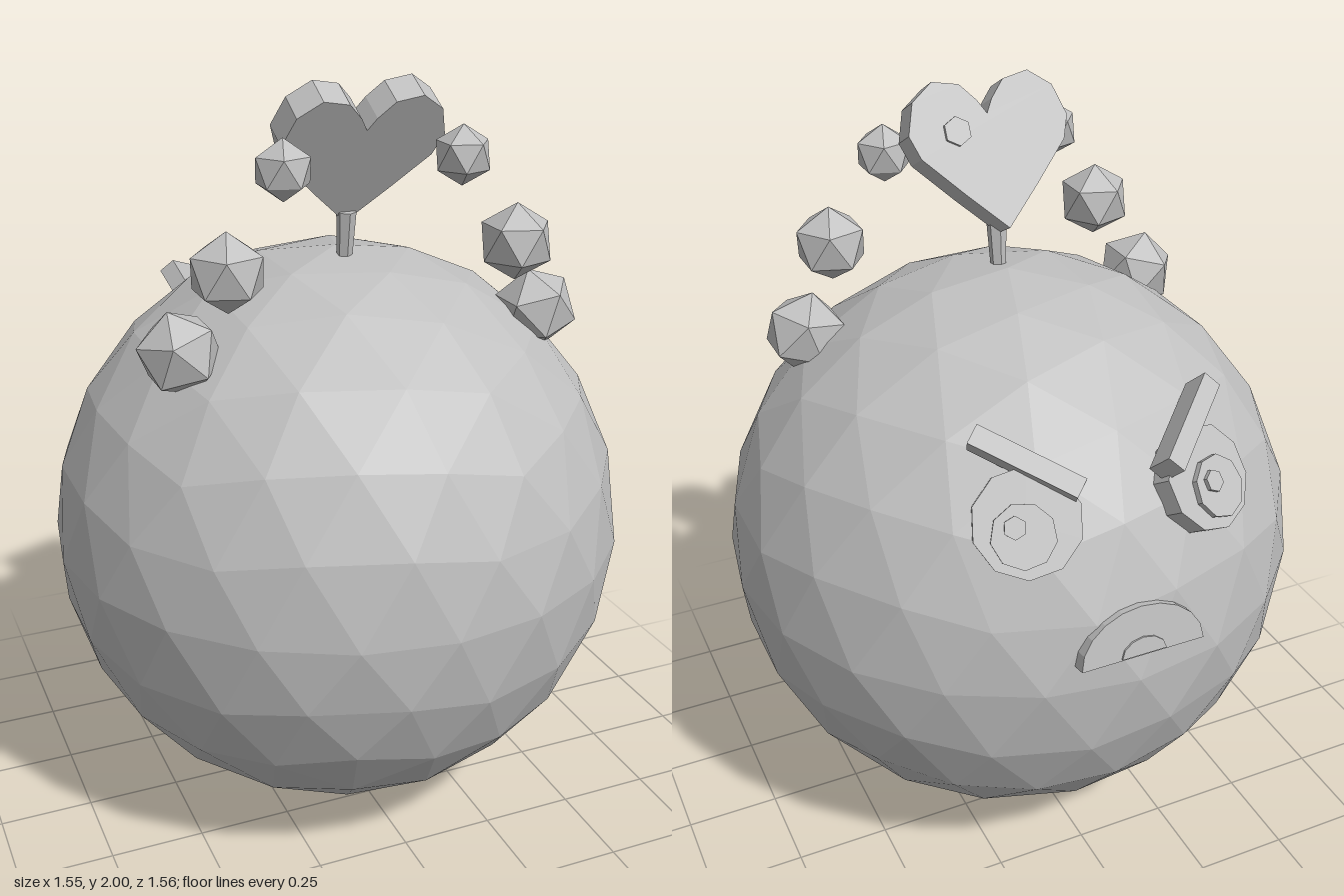
import * as THREE from 'three';

const R = 0.773;
const CENTER = new THREE.Vector3(0, R, 0);
const grey = new THREE.MeshStandardMaterial({ color: 0xc0c0c0, flatShading: true });
grey.name = 'plain grey';

function add(parent, name, geometry, x = 0, y = 0, z = 0) {
  const mesh = new THREE.Mesh(geometry, grey);
  mesh.name = name;
  mesh.position.set(x, y, z);
  parent.add(mesh);
  return mesh;
}

// Icosahedron standing on a corner, each edge halved `steps` times
function icoSphere(radius, steps) {
  let g = new THREE.IcosahedronGeometry(radius, 0);
  g.rotateZ(-Math.atan(2 / (1 + Math.sqrt(5))));
  for (let i = 0; i < steps; i++) {
    const points = Array.from(g.attributes.position.array);
    g = new THREE.PolyhedronGeometry(points, points.slice(0, points.length / 3).map((_, k) => k), radius, 1);
  }
  return g;
}

// Disc whose flat face looks along +z
function disc(radius, depth, sides) {
  return new THREE.CylinderGeometry(radius, radius, depth, sides).rotateX(Math.PI / 2);
}

// Half disc with a flat lower edge, extruded along +z
function halfDisc(width, height, depth, segments) {
  const s = new THREE.Shape();
  for (let i = 0; i <= segments; i++) {
    const a = (Math.PI * i) / segments;
    const x = Math.cos(a) * width, y = Math.sin(a) * height;
    if (i) s.lineTo(x, y); else s.moveTo(x, y);
  }
  s.closePath();
  return new THREE.ExtrudeGeometry(s, { depth, bevelEnabled: false });
}

// Group sitting on the body and facing straight outward
function outward(root, name, x, y, z) {
  const g = new THREE.Group();
  g.name = name;
  g.position.set(x, y, z);
  g.lookAt(g.position.clone().multiplyScalar(2).sub(CENTER));
  root.add(g);
  return g;
}

export function createModel() {
  const root = new THREE.Group();
  root.name = 'roundCreature';

  // Body
  add(root, 'body', icoSphere(R, 2), 0, R, 0);

  // Stalk and forward-leaning heart
  add(root, 'stalk', new THREE.CylinderGeometry(0.026, 0.02, 0.13, 6), 0, 1.585, 0.065).rotation.x = 0.1;
  const heart = new THREE.Group();
  heart.name = 'heart';
  heart.position.set(0, 1.66, -0.015);
  heart.rotation.x = 0.5;
  root.add(heart);
  const half = [[0.1, 0.1], [0.195, 0.2], [0.216, 0.26], [0.19, 0.34], [0.13, 0.384], [0.06, 0.37], [0.02, 0.325]];
  const outline = [[0, 0], ...half, [0, 0.29], ...half.map(([x, y]) => [-x, y]).reverse()];
  const shape = new THREE.Shape(outline.map(([x, y]) => new THREE.Vector2(x, y)));
  add(heart, 'heartPlate', new THREE.ExtrudeGeometry(shape, { depth: 0.085, bevelEnabled: false }));
  add(heart, 'heartHighlight', disc(0.037, 0.02, 6), 0.09, 0.255, 0);

  for (const s of [-1, 1]) {
    const side = s > 0 ? 'left' : 'right';

    // Floating beads
    [[0.49, 1.375, 0.2, 0.11, 0.25], [0.385, 1.58, 0.265, 0.1, 0], [0.235, 1.807, 0.247, 0.076, 0]]
      .forEach(([x, y, z, r, tilt], i) => {
        const bead = add(root, side + 'Bead' + (i + 1), icoSphere(r, 0), s * x, y, z);
        bead.rotation.set(0, s > 0 ? 0 : Math.PI, s * tilt);
      });

    // Eye with pupil and highlight
    const eye = outward(root, side + 'Eye', s * 0.232, 1.195, -0.61);
    add(eye, 'eyeball', disc(0.132, 0.055, 10));
    add(eye, 'pupil', disc(0.078, 0.03, 9), -s * 0.01, -0.03, 0.028);
    add(eye, 'eyeHighlight', disc(0.028, 0.02, 6), -s * 0.01 - 0.02, -0.01, 0.044);

    // Slanted brow
    const brow = add(root, side + 'Brow', new THREE.BoxGeometry(0.28, 0.05, 0.075), s * 0.21, 1.32, -0.56);
    const along = new THREE.Vector3(s * 0.2, 0.1, 0.18).normalize();
    const out = brow.position.clone().sub(CENTER);
    out.addScaledVector(along, -out.dot(along)).normalize();
    brow.quaternion.setFromRotationMatrix(
      new THREE.Matrix4().makeBasis(along, out.clone().cross(along), out));
  }

  // Frowning mouth with tongue
  const mouth = outward(root, 'mouth', 0, 0.915, -0.74);
  add(mouth, 'mouthPlate', halfDisc(0.165, 0.13, 0.05, 10), 0, -0.065, -0.022);
  add(mouth, 'tongue', halfDisc(0.06, 0.045, 0.03, 6), 0, -0.06, 0.003);

  return root;
}
